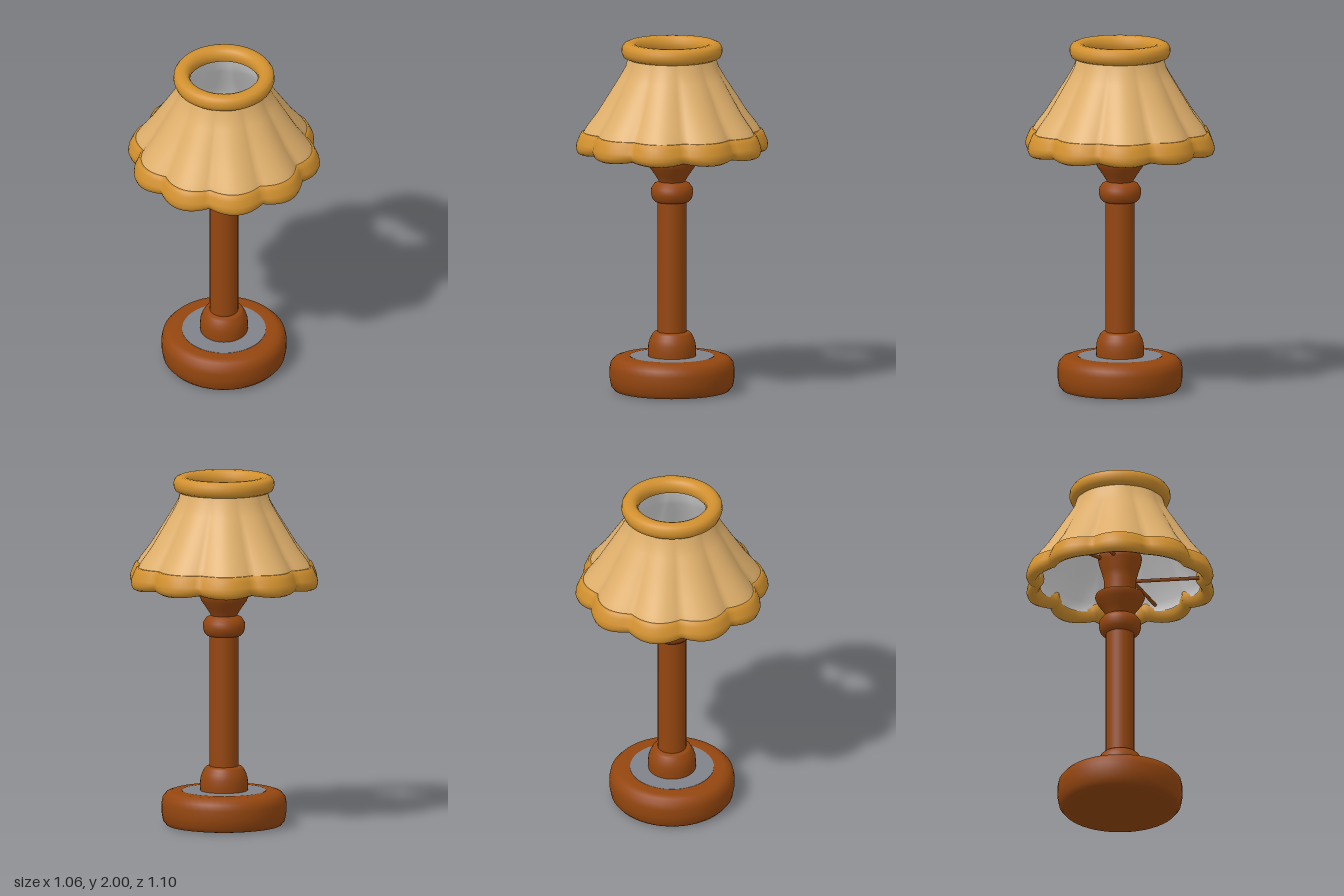
import * as THREE from 'three';
import { mergeVertices } from 'three/addons/utils/BufferGeometryUtils.js';

export function createModel() {
  const lamp = new THREE.Group();
  lamp.name = 'tableLamp';
  const mat = (name, color, side = THREE.FrontSide) => {
    const m = new THREE.MeshStandardMaterial({ color, side });
    m.name = name;
    return m;
  };
  const wood = mat('brown wood', 0x94460f);
  const cream = mat('cream fabric', 0xe0b06c);
  const trim = mat('golden trim', 0xd2912f);
  const lining = mat('white lining', 0xdcdcdc, THREE.DoubleSide);
  const plate = mat('grey plate', 0x7f8288);

  const add = (name, geometry, material) => {
    const mesh = new THREE.Mesh(geometry, material);
    mesh.name = name;
    lamp.add(mesh);
    return mesh;
  };
  const lathe = (points, segments = 40) =>
    new THREE.LatheGeometry(points.map(([r, y]) => new THREE.Vector2(r, y)), segments);

  // Ten scallops, deepest at the hem and fading out towards the neck
  const scallop = (points, depth = 0.045) => {
    let g = lathe(points, 120);
    g.deleteAttribute('uv');
    g.deleteAttribute('normal');
    g = mergeVertices(g, 1e-4);
    const p = g.attributes.position;
    for (let i = 0; i < p.count; i++) {
      const x = p.getX(i), y = p.getY(i), z = p.getZ(i);
      const r = Math.hypot(x, z);
      const fade = THREE.MathUtils.clamp((1.93 - y) / 0.45, 0, 1);
      const wave = Math.abs(Math.cos(5 * Math.atan2(x, z))) - 0.6;
      const k = 1 + (depth * fade * wave) / r;
      const drop = y < 1.42 ? 0.014 * (wave - 0.4) : 0;
      p.setXYZ(i, x * k, y - drop, z * k);
    }
    g.computeVertexNormals();
    return g;
  };

  // Base and its inlaid plate
  add('base', lathe([
    [0, 0], [0.29, 0], [0.325, 0.006], [0.345, 0.03], [0.354, 0.08], [0.354, 0.13],
    [0.347, 0.165], [0.325, 0.19], [0.295, 0.2], [0.24, 0.202], [0.235, 0.196], [0, 0.196],
  ], 48), wood);
  const disc = add('basePlate', new THREE.CylinderGeometry(0.237, 0.237, 0.006, 48), plate);
  disc.position.y = 0.198;

  // Turned stem
  add('lowerCollar', lathe([
    [0.134, 0.195], [0.136, 0.23], [0.134, 0.27], [0.125, 0.3], [0.11, 0.328], [0.1, 0.338], [0.07, 0.342],
  ]), wood);
  add('post', new THREE.CylinderGeometry(0.081, 0.081, 0.8, 32).translate(0, 0.72, 0), wood);
  add('upperBead', lathe([
    [0.07, 1.085], [0.095, 1.087], [0.112, 1.105], [0.12, 1.135], [0.117, 1.165], [0.1, 1.19], [0.07, 1.205],
  ]), wood);
  add('cup', lathe([
    [0.07, 1.19], [0.078, 1.21], [0.1, 1.245], [0.128, 1.285], [0.141, 1.315], [0.138, 1.328], [0.125, 1.331], [0.05, 1.331],
  ]), wood);
  add('socket', lathe([
    [0.09, 1.32], [0.09, 1.42], [0.1, 1.46], [0.12, 1.53], [0.125, 1.56], [0.115, 1.585], [0.085, 1.6],
    [0.078, 1.65], [0.07, 1.69], [0.045, 1.735], [0.02, 1.758], [0, 1.762],
  ]), wood);

  // Struts from the socket out to the hem
  const strut = (from, to) => {
    const curve = new THREE.LineCurve3(new THREE.Vector3(...from), new THREE.Vector3(...to));
    add('shadeStrut', new THREE.TubeGeometry(curve, 1, 0.011, 6), wood);
  };
  strut([0.08, 1.55, -0.03], [0.46, 1.46, 0.06]);
  strut([-0.08, 1.55, 0], [-0.46, 1.45, 0.03]);
  strut([-0.06, 1.55, -0.09], [-0.45, 1.44, -0.1]);
  strut([0.02, 1.42, 0.05], [0.1, 1.42, 0.44]);

  // Shade: outer fabric and inner lining
  add('shadeFabric', scallop([
    [0.494, 1.48], [0.47, 1.525], [0.415, 1.6], [0.355, 1.7], [0.295, 1.8], [0.262, 1.86], [0.243, 1.93],
  ]), cream);
  add('shadeLining', scallop([
    [0.455, 1.42], [0.45, 1.48], [0.385, 1.6], [0.325, 1.7], [0.265, 1.8], [0.232, 1.86], [0.205, 1.94],
  ], 0.025), lining);

  // Padded trim along the hem and the top opening
  add('hemTrim', scallop([
    [0.455, 1.44], [0.458, 1.4], [0.475, 1.375], [0.5, 1.366], [0.52, 1.375], [0.53, 1.4],
    [0.526, 1.43], [0.512, 1.465], [0.499, 1.492], [0.485, 1.494], [0.46, 1.47], [0.455, 1.44],
  ]), trim);
  add('topTrim', lathe([
    [0.2, 1.92], [0.23, 1.906], [0.255, 1.908], [0.276, 1.918], [0.286, 1.945], [0.284, 1.972], [0.272, 1.99],
    [0.25, 1.999], [0.225, 1.998], [0.205, 1.988], [0.193, 1.965], [0.192, 1.94], [0.2, 1.92],
  ], 48), trim);

  return lamp;
}
